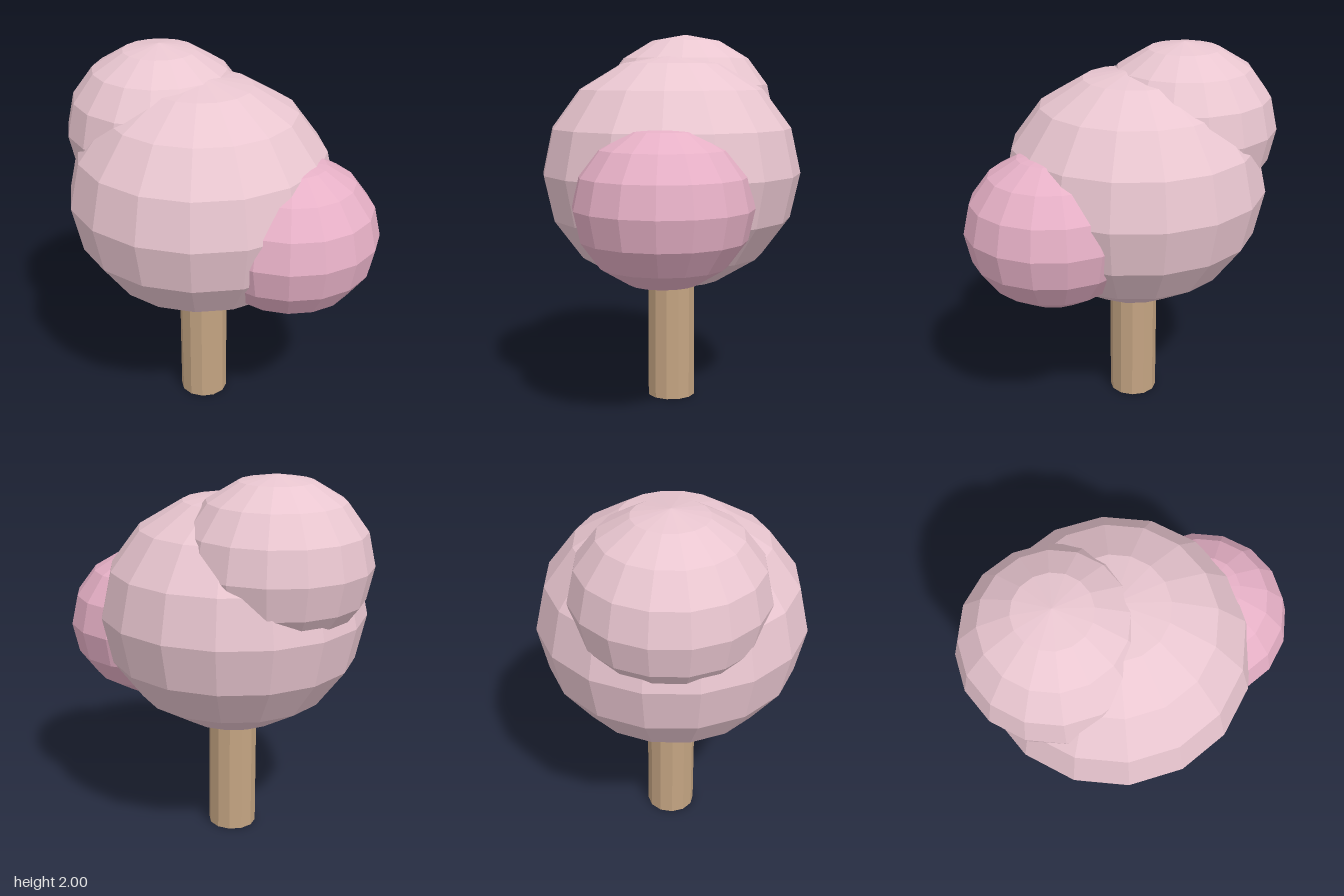
import * as THREE from 'three';

const material = (color) => new THREE.MeshStandardMaterial({ color, flatShading: true });

export function createModel() {
  const tree = new THREE.Group();
  tree.name = 'tree';

  const blossom = material(0xe9c6d0);
  const deepBlossom = material(0xe6b0c6);
  const bark = material(0xc4a482);

  // Straight trunk, its top buried in the crown
  const trunk = new THREE.Mesh(new THREE.CylinderGeometry(0.13, 0.13, 0.9, 12), bark);
  trunk.name = 'trunk';
  trunk.position.set(-0.1, 0.45, 0);
  tree.add(trunk);

  // Foliage balls, slightly flattened in height
  const addFoliage = (name, radius, position, mat) => {
    const geometry = new THREE.SphereGeometry(radius, 16, 8).scale(1, 0.9, 1);
    const ball = new THREE.Mesh(geometry, mat);
    ball.name = name;
    ball.position.set(...position);
    tree.add(ball);
  };
  addFoliage('mainFoliage', 0.705, [-0.1, 1.25, 0], blossom);
  addFoliage('upperFoliage', 0.5, [-0.33, 1.55, -0.165], blossom);
  addFoliage('sideFoliage', 0.46, [0.37, 1.12, 0.2], deepBlossom);

  return tree;
}
